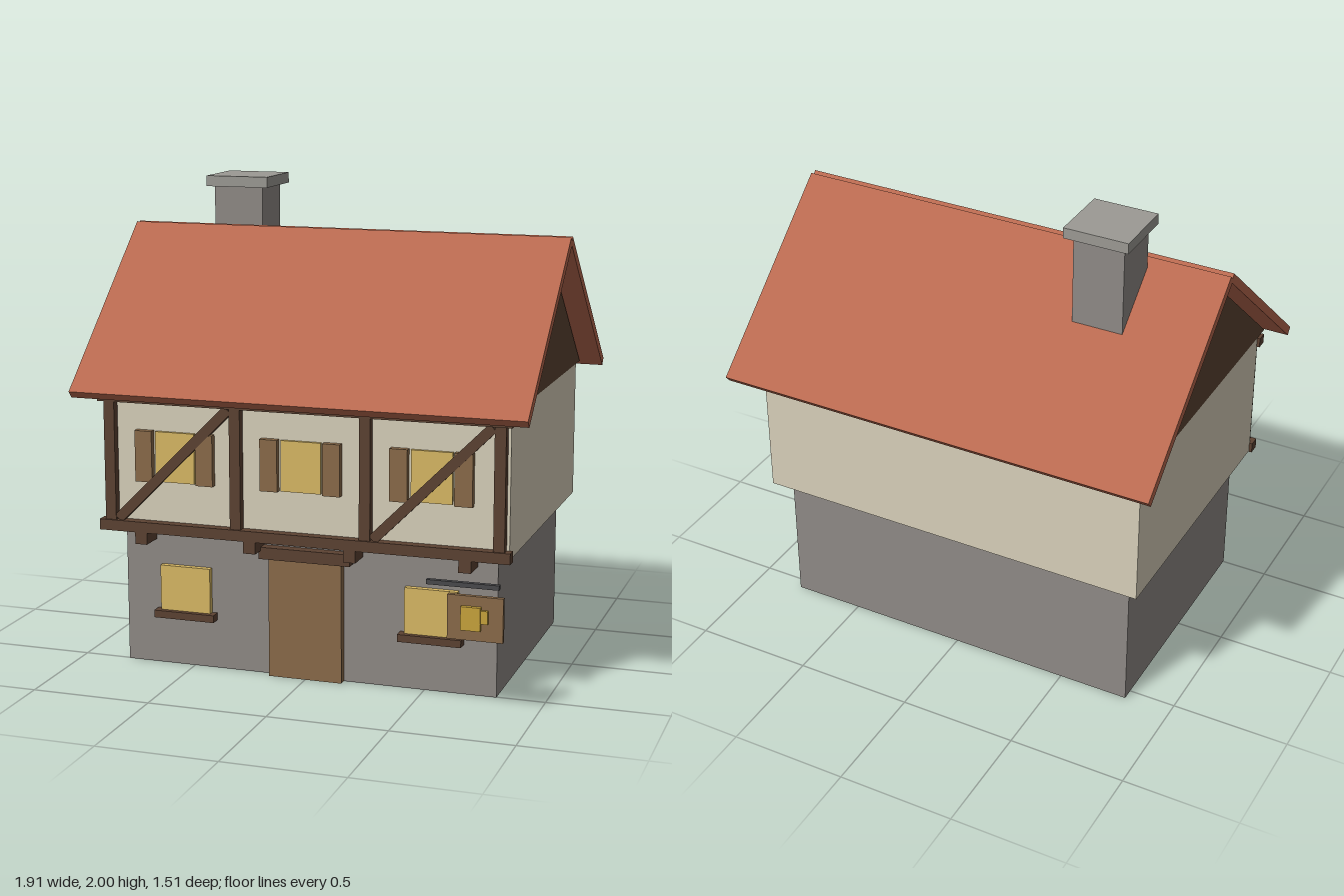
import * as THREE from 'three';

const mat = (color) => new THREE.MeshStandardMaterial({ color });

export function createModel() {
  const house = new THREE.Group();
  house.name = 'timberFramedInn';

  const stone = mat(0x8f8a86), capStone = mat(0x9c9a94), plaster = mat(0xd8d0ba);
  const timber = mat(0x5c4232), gableWood = mat(0x5c4432), tile = mat(0xb8694f);
  const plank = mat(0x8a6b4a), glass = mat(0xd9b965), iron = mat(0x4a4a4c), gold = mat(0xc9a43c);

  // Box given by its ranges along x, y and z
  const block = (name, material, [x0, x1], [y0, y1], [z0, z1], parent = house) => {
    const mesh = new THREE.Mesh(new THREE.BoxGeometry(x1 - x0, y1 - y0, z1 - z0), material);
    mesh.position.set((x0 + x1) / 2, (y0 + y1) / 2, (z0 + z1) / 2);
    mesh.name = name;
    parent.add(mesh);
    return mesh;
  };
  const around = (c, width) => [c - width / 2, c + width / 2];

  // Storeys
  block('groundFloor', stone, [-0.8, 0.8], [0, 0.59], [-0.55, 0.505]);
  block('upperFloor', plaster, [-0.86, 0.86], [0.59, 1.17], [-0.615, 0.57]);

  // Triangular gable body under the roof
  const ridgeZ = -0.025;
  const triangle = new THREE.Shape([
    new THREE.Vector2(-0.67, 1.17), new THREE.Vector2(0.67, 1.17), new THREE.Vector2(0, 1.755),
  ]);
  const gableGeometry = new THREE.ExtrudeGeometry(triangle, { depth: 1.72, bevelEnabled: false });
  gableGeometry.translate(0, 0, -0.86).rotateY(Math.PI / 2);
  const gable = new THREE.Mesh(gableGeometry, gableWood);
  gable.position.z = ridgeZ;
  gable.name = 'gable';
  house.add(gable);

  // Two sloping roof slabs
  for (const side of [1, -1]) {
    const slab = new THREE.Mesh(new THREE.BoxGeometry(1.91, 0.037, 0.946), tile);
    slab.position.set(0, 1.474, ridgeZ + side * 0.36);
    slab.rotation.x = side * 0.714;
    slab.name = side > 0 ? 'frontRoof' : 'backRoof';
    house.add(slab);
  }

  // Chimney
  block('chimney', stone, [-0.617, -0.4], [1.35, 1.955], [-0.293, -0.075]);
  block('chimneyCap', capStone, [-0.645, -0.37], [1.955, 2], [-0.323, -0.05]);

  // Timber frame of the upper front
  const frame = new THREE.Group();
  frame.name = 'timberFrame';
  house.add(frame);
  block('lowerRail', timber, [-0.873, 0.873], [0.585, 0.63], [0.565, 0.613], frame);
  block('upperRail', timber, [-0.873, 0.873], [1.128, 1.17], [0.565, 0.61], frame);
  for (const x of [-0.825, -0.275, 0.275, 0.825])
    block('post', timber, around(x, 0.046), [0.63, 1.128], [0.565, 0.605], frame);
  for (const x of [-0.55, 0.55]) {
    const brace = block('brace', timber, around(x, 0.69), around(0.879, 0.042), [0.565, 0.601], frame);
    brace.rotation.z = Math.PI / 4;
  }
  for (const x of [-0.69, -0.213, 0.213, 0.69])
    block('joistEnd', timber, around(x, 0.052), [0.535, 0.585], [0.5, 0.61], frame);

  // Upper windows with shutters
  for (const x of [-0.545, 0, 0.545]) {
    block('upperWindow', glass, around(x, 0.17), [0.8, 1.01], [0.56, 0.584]);
    for (const side of [-1, 1])
      block('shutter', plank, around(x + side * 0.133, 0.074), [0.798, 1.012], [0.56, 0.598]);
  }

  // Ground floor windows with sills
  for (const x of [-0.53, 0.53]) {
    block('lowerWindow', glass, around(x, 0.22), [0.238, 0.43], [0.495, 0.53]);
    block('windowSill', timber, around(x, 0.265), [0.207, 0.238], [0.495, 0.552]);
  }

  // Door and lintel
  block('door', plank, [-0.157, 0.157], [0, 0.5], [0.495, 0.54]);
  block('doorLintel', timber, [-0.195, 0.195], [0.5, 0.55], [0.495, 0.55]);

  // Hanging sign with a mug
  const sign = new THREE.Group();
  sign.name = 'hangingSign';
  house.add(sign);
  block('signBar', iron, [0.567, 0.86], [0.514, 0.533], [0.71, 0.731], sign);
  block('signBoard', plank, [0.656, 0.88], [0.306, 0.485], [0.721, 0.741], sign);
  block('mug', gold, [0.714, 0.793], [0.35, 0.445], [0.738, 0.759], sign);
  block('mugHandle', gold, [0.793, 0.822], [0.38, 0.433], [0.738, 0.755], sign);

  return house;
}
